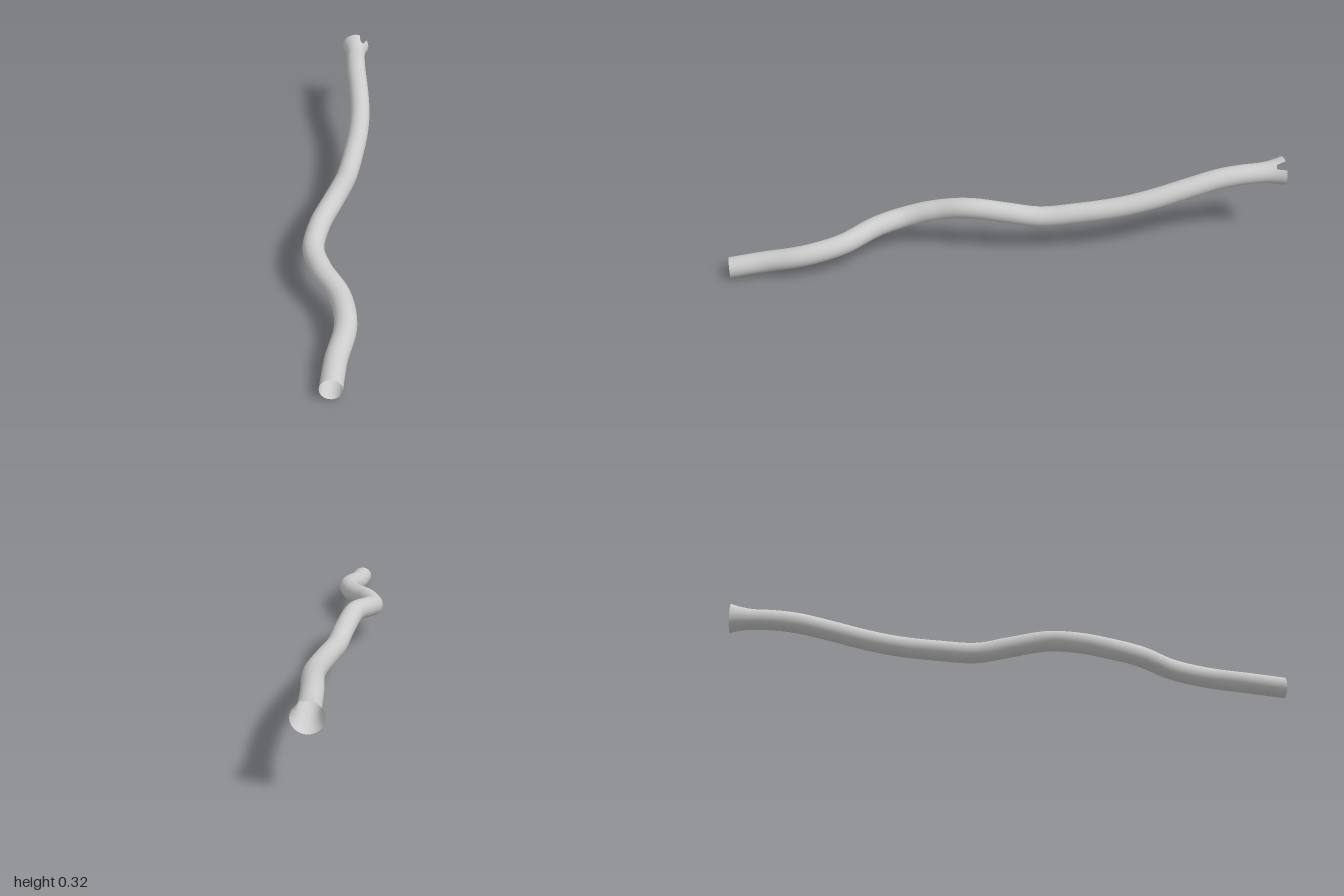
import * as THREE from 'three';
import { ParametricGeometry } from 'three/addons/geometries/ParametricGeometry.js';

const RADIUS = 0.037, SIDES = 48;
const END_X = 0.066, END_Y = 0.265, FLARE_Z = -0.9;

export function createModel() {
  const group = new THREE.Group();
  const material = new THREE.MeshStandardMaterial({ color: 0xcccccc, side: THREE.DoubleSide });
  const add = (name, geometry) => {
    const mesh = new THREE.Mesh(geometry, material);
    mesh.name = name;
    group.add(mesh);
  };

  // winding pipe, open at both ends
  const path = new THREE.CatmullRomCurve3([
    [-0.018, 0.037, 1], [-0.004, 0.056, 0.88], [0.026, 0.084, 0.74], [0.008, 0.103, 0.6],
    [-0.055, 0.122, 0.47], [-0.083, 0.134, 0.36], [-0.063, 0.162, 0.25], [-0.022, 0.183, 0.14],
    [0.008, 0.168, 0.01], [0.03, 0.15, -0.11], [0.053, 0.163, -0.24], [0.074, 0.184, -0.39],
    [0.081, 0.208, -0.51], [0.077, 0.237, -0.64], [0.069, 0.259, -0.76],
    [END_X, END_Y, -0.85], [END_X, END_Y, FLARE_Z],
  ].map((p) => new THREE.Vector3(...p)));
  const pipe = new THREE.TubeGeometry(path, 160, RADIUS, SIDES, false);
  // square off both rims
  const pos = pipe.attributes.position;
  for (let i = 0; i <= SIDES; i++) {
    pos.setZ(i, 1);
    pos.setZ(pos.count - 1 - i, FLARE_Z);
  }
  add('pipe', pipe);

  // flared mouth at the back, with a rounded bite out of its rim
  const biteAngle = 0.9, biteHalfWidth = 0.31, biteDepth = 0.04;
  add('flaredMouth', new ParametricGeometry((u, v, target) => {
    const a = u * Math.PI * 2 - Math.PI;
    const d = (a - biteAngle) / biteHalfWidth;
    const bite = biteDepth * Math.sqrt(Math.max(0, 1 - d * d));
    const z = THREE.MathUtils.lerp(FLARE_Z, -1 + bite, v);
    const t = (FLARE_Z - z) / (FLARE_Z + 1);
    const r = RADIUS + 0.016 * t * t;
    target.set(END_X + r * Math.cos(a), END_Y + r * Math.sin(a), z);
  }, 144, 16));

  return group;
}
